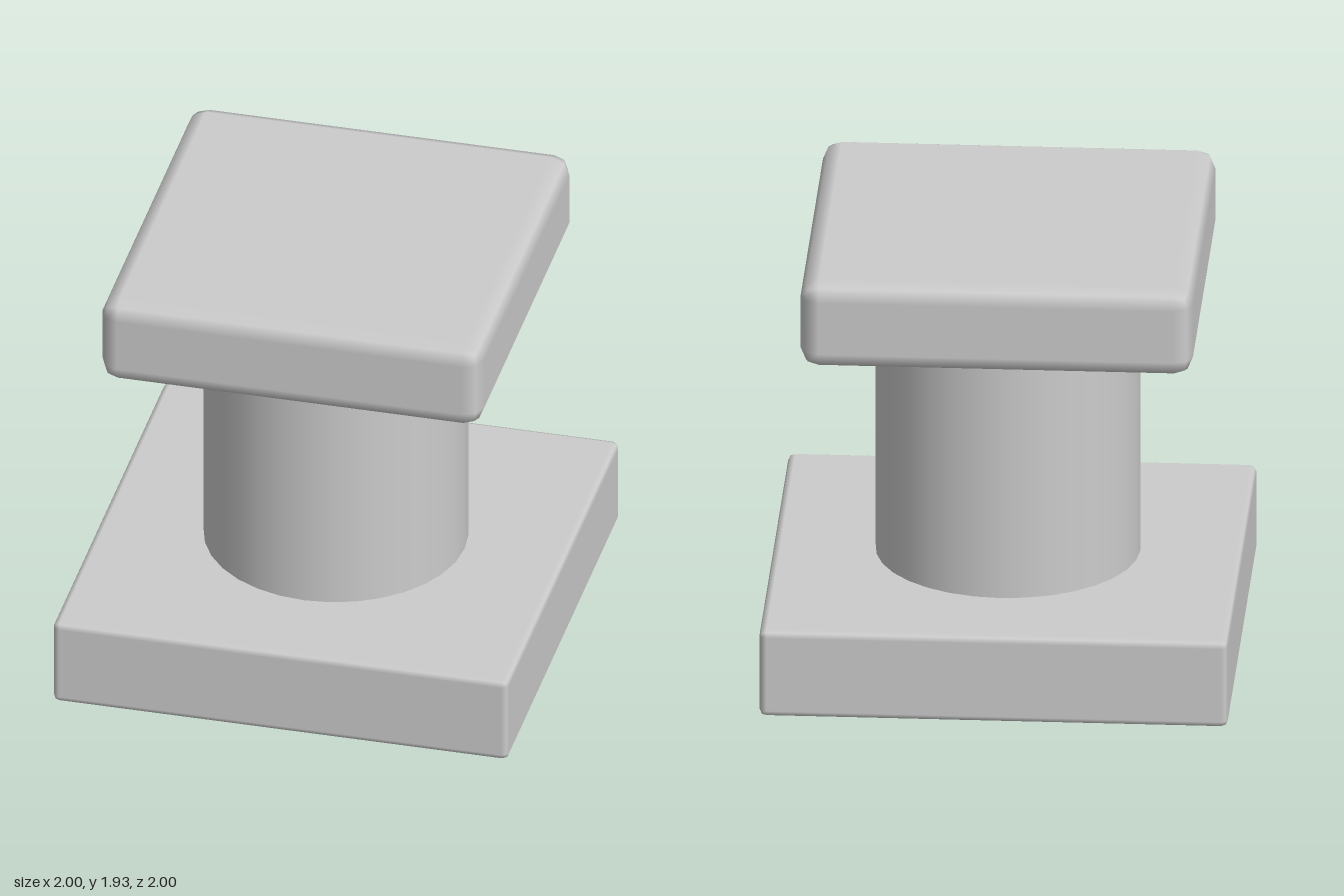
import * as THREE from 'three';
import { RoundedBoxGeometry } from 'three/addons/geometries/RoundedBoxGeometry.js';

export function createModel() {
  const group = new THREE.Group();
  group.name = 'pedestal';
  const stone = new THREE.MeshStandardMaterial({ color: 0xcccccc });
  stone.name = 'light grey';

  const add = (name, geometry, y) => {
    const mesh = new THREE.Mesh(geometry, stone);
    mesh.name = name;
    mesh.position.y = y;
    group.add(mesh);
  };

  // square slab with bevelled, softly shaded edges, spanning bottom to top
  const addSlab = (name, width, bottom, top, bevel) =>
    add(name, new RoundedBoxGeometry(width, top - bottom, width, 1, bevel), (bottom + top) / 2);

  addSlab('base', 2, 0, 0.397, 0.03);
  addSlab('capital', 1.676, 1.535, 1.932, 0.08);

  // round column between the slabs
  const bottom = 0.397, top = 1.535;
  add('column', new THREE.CylinderGeometry(0.565, 0.565, top - bottom, 32), (bottom + top) / 2);

  return group;
}
